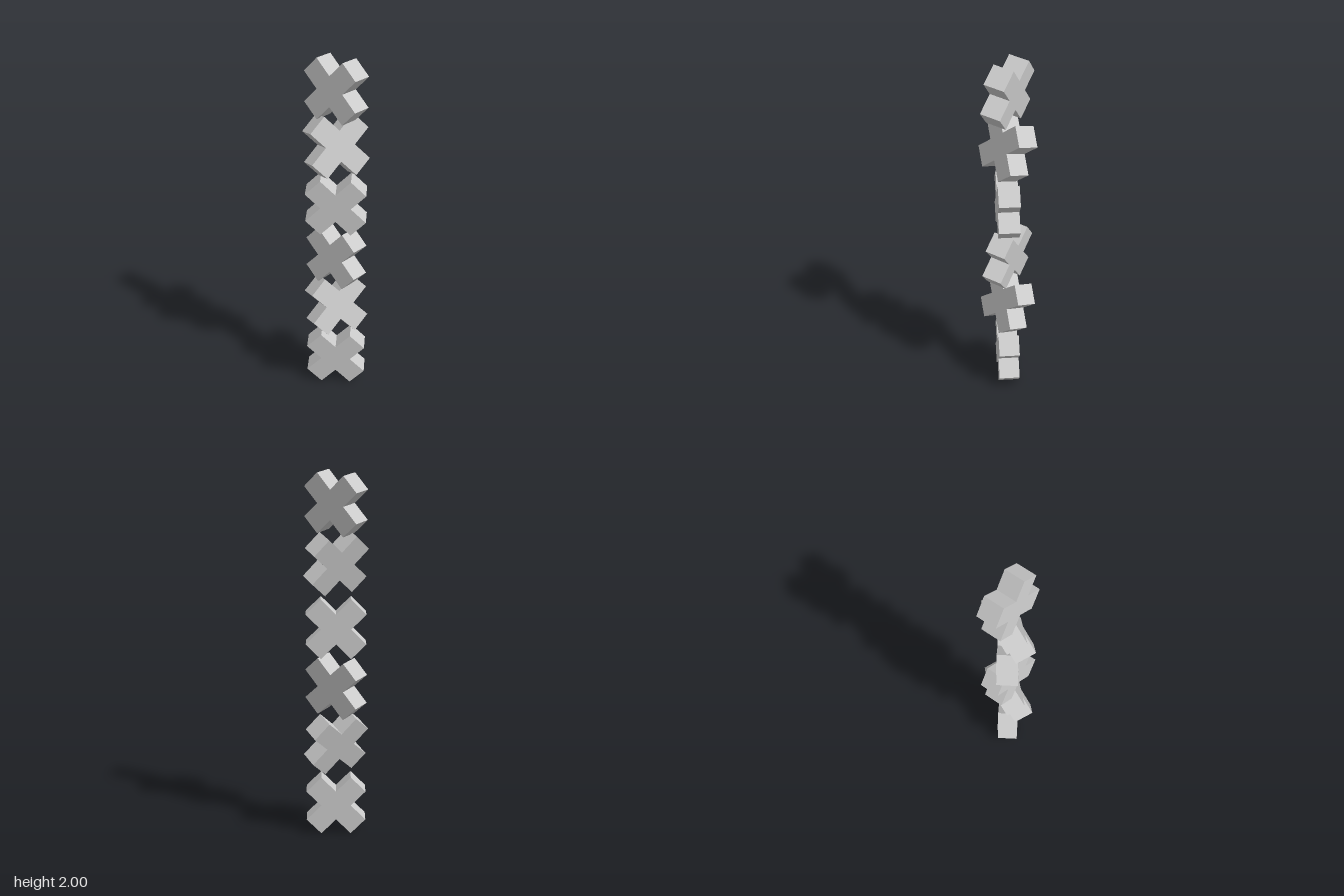
import * as THREE from 'three';

const S = 0.115;      // side of one cube of the cross
const PERIOD = 0.995; // height after which the three poses repeat

// Plus-shaped solid: five cubes in a plane, centred on the origin
function crossGeometry() {
  const a = 1.5 * S, w = 0.5 * S;
  const outline = [];
  for (let i = 0; i < 4; i++) {
    const turn = i * Math.PI / 2;
    for (const [x, y] of [[a, -w], [a, w], [w, w]]) {
      outline.push(new THREE.Vector2(x, y).rotateAround(new THREE.Vector2(), turn));
    }
  }
  const geometry = new THREE.ExtrudeGeometry(new THREE.Shape(outline), { depth: S, bevelEnabled: false });
  return geometry.translate(0, 0, -S / 2);
}

// Height, facing direction and arm direction of each pose
const poses = [
  { y: 0.163, facing: [0, 0, 1], arm: [1, -1, 0] },
  { y: 0.517, facing: [0.445, 0.28, 0.85], arm: [0.68, -0.723, -0.118] },
  { y: 0.832, facing: [-0.55, 0.1, 0.83], arm: [0.6, -0.66, 0.475] },
];

export function createModel() {
  const model = new THREE.Group();
  model.name = 'crossStack';
  const geometry = crossGeometry();
  const material = new THREE.MeshStandardMaterial({ color: 0xcccccc, flatShading: true });

  for (let repeat = 0; repeat < 2; repeat++) {
    poses.forEach(({ y, facing, arm }, i) => {
      const n = new THREE.Vector3(...facing).normalize();
      const v = new THREE.Vector3().crossVectors(n, new THREE.Vector3(...arm)).normalize();
      const u = new THREE.Vector3().crossVectors(v, n);
      const cross = new THREE.Mesh(geometry, material);
      cross.name = `cross${repeat * 3 + i + 1}`;
      cross.quaternion.setFromRotationMatrix(new THREE.Matrix4().makeBasis(u, v, n));
      cross.position.y = y + repeat * PERIOD;
      model.add(cross);
    });
  }
  return model;
}
